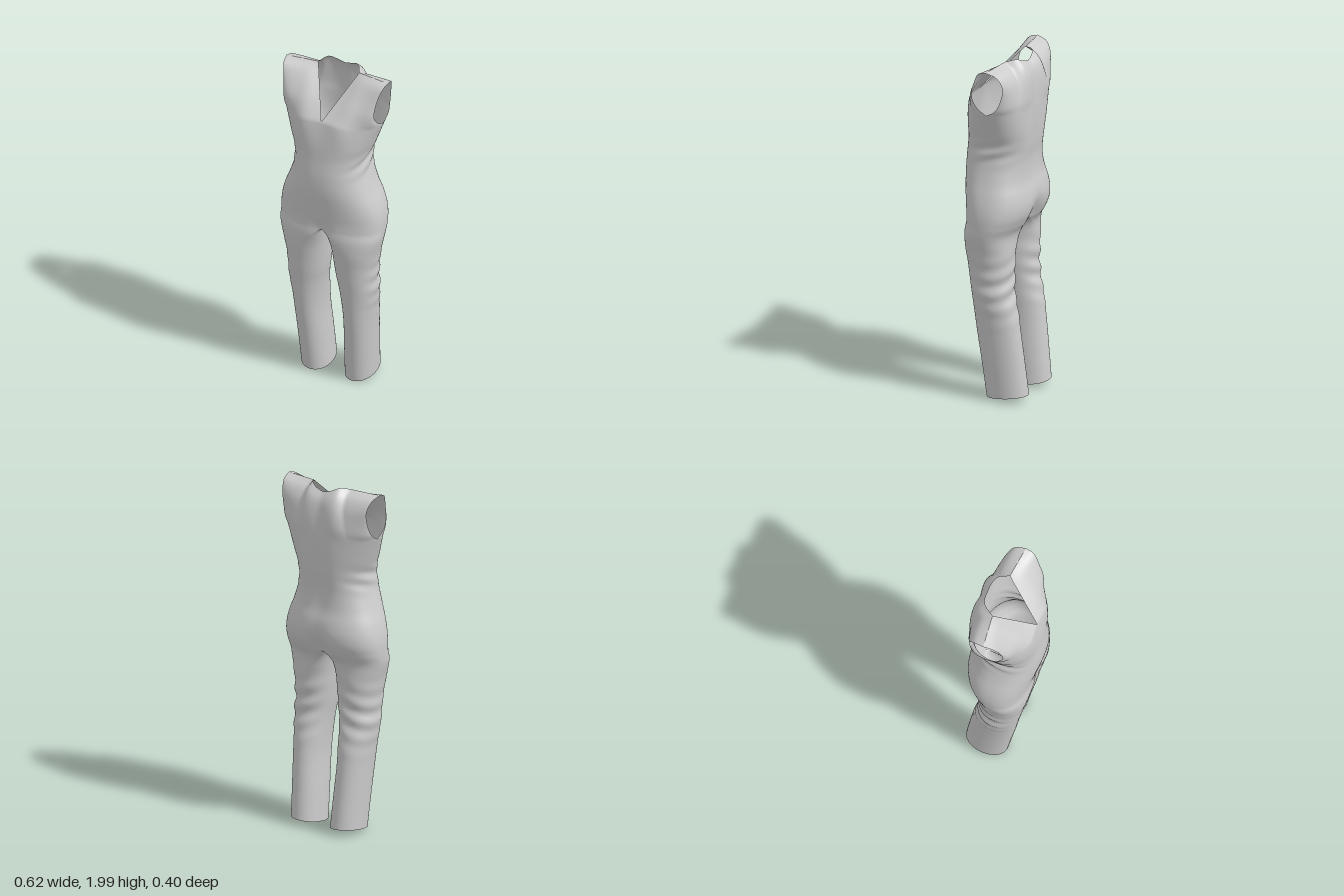
import * as THREE from 'three';
import { mergeGeometries, mergeVertices } from 'three/addons/utils/BufferGeometryUtils.js';

const N = 24; // columns per quarter ring
const V = (x, y, z) => new THREE.Vector3(x, y, z);
const spow = (v, p) => Math.sign(v) * Math.abs(v) ** p;
const bump = (v, c, w) => Math.exp(-(((v - c) / w) ** 2));

// smooth lookup in a table whose first column is the height
function table(rows) {
  const f = new THREE.CubicInterpolant(rows.map(r => r[0]), rows.flatMap(r => r.slice(1)), rows[0].length - 1);
  return y => f.evaluate(y);
}

// height, half width, front z, back z, side z
const torsoAt = table([
  [1.04, 0.306, 0.174, -0.165, 0.0045],
  [1.10, 0.305, 0.176, -0.192, 0.0],
  [1.16, 0.296, 0.184, -0.201, 0.0],
  [1.22, 0.279, 0.193, -0.195, 0.0],
  [1.30, 0.248, 0.204, -0.178, 0.0],
  [1.40, 0.217, 0.206, -0.176, 0.0],
  [1.50, 0.211, 0.197, -0.188, 0.0],
  [1.60, 0.243, 0.188, -0.192, -0.01],
  [1.72, 0.285, 0.162, -0.190, -0.02],
]);

// height, outer x, inner x, middle x, front z, back z
const legAt = table([
  [0.00, 0.221, 0.045, 0.133, 0.045, -0.196],
  [0.20, 0.228, 0.052, 0.140, 0.070, -0.179],
  [0.40, 0.238, 0.060, 0.149, 0.097, -0.156],
  [0.50, 0.246, 0.056, 0.150, 0.109, -0.143],
  [0.62, 0.260, 0.045, 0.150, 0.123, -0.118],
  [0.70, 0.261, 0.032, 0.148, 0.135, -0.111],
  [0.80, 0.268, 0.020, 0.145, 0.148, -0.113],
  [0.90, 0.284, 0.012, 0.135, 0.163, -0.115],
  [0.99, 0.303, 0.003, 0.070, 0.172, -0.128],
  [1.04, 0.306, 0.000, 0.000, 0.174, -0.165],
]);

// seat cleft, spine groove, crotch crease and bust, as an offset along z
function relief(x, y, s) {
  if (s < 0) return -s * bump(x, 0, 0.06) * (0.03 * bump(y, 1.07, 0.09) + 0.014 * bump(y, 1.5, 0.22));
  return s * (0.016 * bump(Math.abs(x), 0.12, 0.07) * bump(y, 1.7, 0.1) - 0.014 * bump(x, 0, 0.05) * bump(y, 1.04, 0.05));
}

function torsoPoint(a, y) {
  const [w, zf, zb, zs] = torsoAt(y);
  const s = spow(Math.sin(a), 0.85), x = w * spow(Math.cos(a), 0.85);
  const z = zs + (s > 0 ? zf - zs : zs - zb) * s + relief(x, y, s);
  // gathered folds at the sides of the waist, and a raised neckline point
  const fold = 0.006 * Math.sin(70 * y + 25 * z) * bump(y, 1.47, 0.06) * Math.abs(Math.cos(a)) ** 3;
  const lift = 0.03 * Math.max(0, s) ** 6 * THREE.MathUtils.smoothstep(y, 1.55, 1.72);
  return V(x + fold, y + lift, z);
}

function legPoint(a, y) {
  const [xo, xi, cx, zf, zb] = legAt(y);
  const p = THREE.MathUtils.lerp(0.95, 0.85, THREE.MathUtils.smoothstep(y, 0.8, 1.04));
  const s = spow(Math.sin(a), p), c = spow(Math.cos(a), p);
  const x = cx + (c > 0 ? xo - cx : cx - xi) * c, mid = (zf + zb) / 2;
  const z = mid + (zf - mid) * s + relief(x, y, s);
  // creases behind the knee and a slanted hem
  const fold = 0.006 * Math.sin(62 * y + 22 * x) * bump(y, 0.68, 0.15) * (Math.max(0, -s) + 0.6 * Math.max(0, c) ** 4);
  const hem = Math.max(0, 1 - y / 0.2) * (0.018 * (1 - s) + 0.006 * (1 + c));
  return V(x + fold * Math.max(0, c), y + hem, z + fold * Math.min(0, s));
}

// surface f(u, v) with u x v pointing outward; side = -1 mirrors it
function grid(f, nu, nv, side) {
  const pos = [], idx = [];
  for (let j = 0; j <= nv; j++)
    for (let i = 0; i <= nu; i++) {
      const q = f(i / nu, j / nv);
      pos.push(side * q.x, q.y, q.z);
      if (i === nu || j === nv) continue;
      const a = j * (nu + 1) + i, b = a + 1, c = a + nu + 1, d = c + 1;
      idx.push(...(side > 0 ? [a, b, d, a, d, c] : [a, d, b, a, c, d]));
    }
  const g = new THREE.BufferGeometry();
  g.setAttribute('position', new THREE.Float32BufferAttribute(pos, 3));
  return g.setIndex(idx);
}

// patch filling four boundary curves
function coons(bottom, top, left, right) {
  const mix = (a, b, t) => a.clone().lerp(b, t);
  return (u, v) => mix(bottom(u), top(u), v)
    .add(mix(left(v), right(v), u))
    .sub(mix(mix(bottom(0), bottom(1), u), mix(top(0), top(1), u), v));
}

const curve = pts => {
  const c = new THREE.CatmullRomCurve3(pts);
  return t => c.getPointAt(t);
};

export function createModel() {
  const q = Math.PI / 2, chest = 1.72;
  const neck = V(0.125, 1.985, -0.05), tip = V(0.31, 1.982, -0.03), under = torsoPoint(0, chest);
  const shoulder = t => neck.clone().lerp(tip, t);

  // armhole and neckline edges
  const armFront = curve([under, V(0.281, 1.755, 0.04), V(0.276, 1.81, 0.072), V(0.285, 1.9, 0.055), V(0.303, 1.968, 0.018), tip]);
  const armBack = curve([under, V(0.29, 1.755, -0.075), V(0.286, 1.82, -0.108), V(0.286, 1.9, -0.12), V(0.3, 1.96, -0.09), tip]);
  const vPoint = torsoPoint(q, chest), spine = torsoPoint(-q, chest), nape = V(0, 1.965, -0.13);
  const neckFront = t => vPoint.clone().lerp(neck, t);
  const neckBack = curve([nape, V(0.05, 1.98, -0.126), V(0.09, 1.998, -0.105), neck]);
  const centreBack = curve([spine, V(0, 1.85, -0.174), V(0, 1.92, -0.158), nape]);
  const split = 10 / N;
  const backTop = u => (u < split ? neckBack(u / split) : shoulder((u - split) / (1 - split)));

  const front = coons(u => torsoPoint(q * (1 - u), chest), shoulder, neckFront, armFront);
  const back = coons(u => torsoPoint(-q * (1 - u), chest), backTop, centreBack, armBack);

  const parts = [];
  for (const [side, label] of [[1, 'left'], [-1, 'right']]) {
    const add = (name, f, nu, nv) => parts.push([label + name, grid(f, nu, nv, side)]);
    add('TrouserLeg', (u, v) => legPoint(q - 4 * q * u, 1.04 * v), 4 * N, 90);
    add('Torso', (u, v) => torsoPoint(q - 2 * q * u, 1.04 + (chest - 1.04) * v), 2 * N, 56);
    add('FrontBodice', front, N, 20);
    add('BackBodice', (u, v) => back(1 - u, v), N, 20);
  }

  // weld the seams so shading runs smoothly across parts, then split by part
  const whole = mergeVertices(mergeGeometries(parts.map(p => p[1])), 1e-4);
  whole.computeVertexNormals();
  const material = new THREE.MeshStandardMaterial({ color: 0xcccccc, side: THREE.DoubleSide });
  const group = new THREE.Group();
  group.name = 'sleevelessJumpsuit';
  let start = 0;
  for (const [name, g] of parts) {
    const part = new THREE.BufferGeometry();
    part.setAttribute('position', whole.attributes.position);
    part.setAttribute('normal', whole.attributes.normal);
    part.setIndex(Array.from(whole.index.array.slice(start, start + g.index.count)));
    start += g.index.count;
    const mesh = new THREE.Mesh(part, material);
    mesh.name = name;
    group.add(mesh);
  }
  return group;
}
